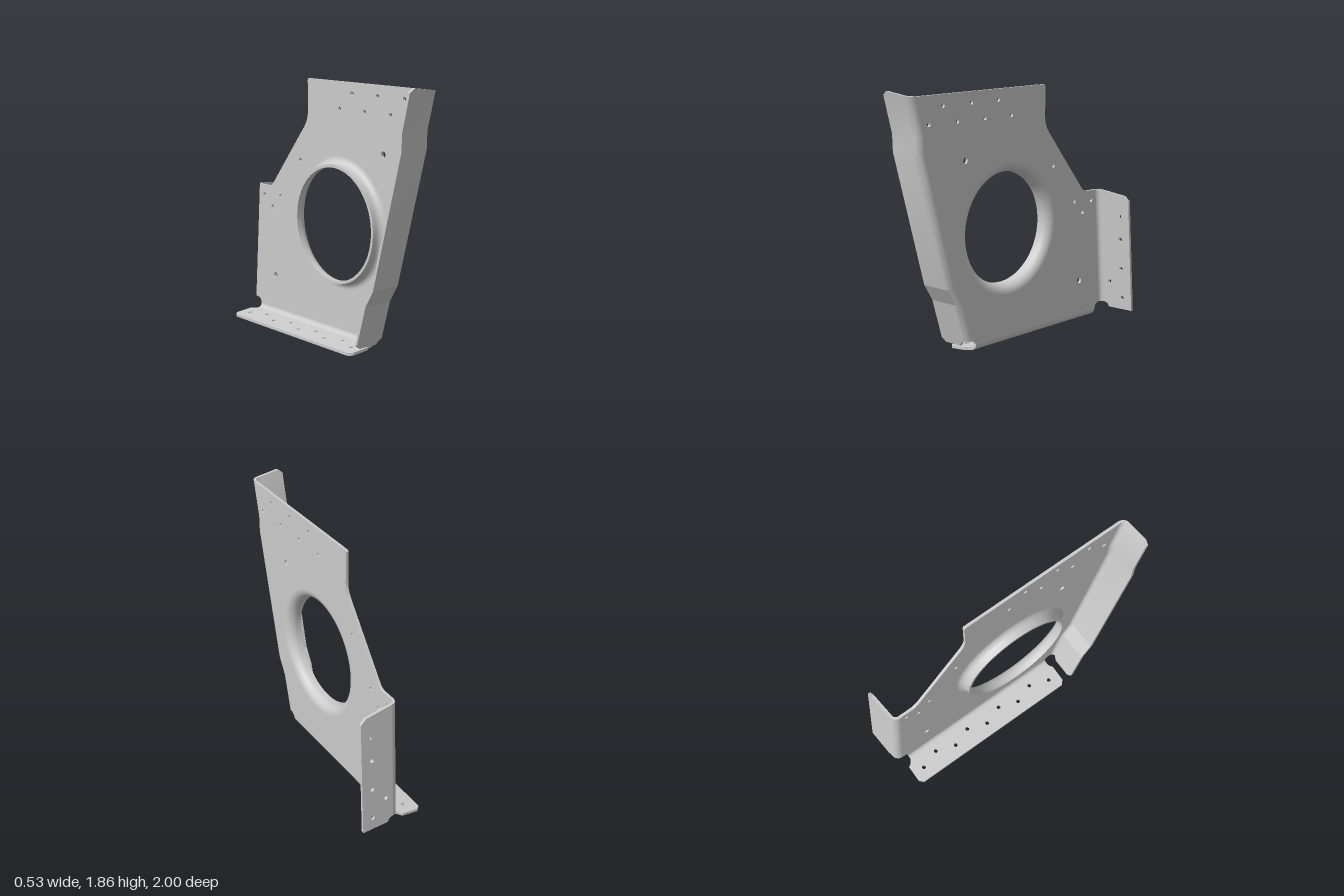
import * as THREE from 'three';
import { toCreasedNormals } from 'three/addons/utils/BufferGeometryUtils.js';

const T = 0.02;               // sheet thickness
const R = 0.05;               // outer bend radius
const XP = -0.016;            // plate face on the +x side
const XN = XP - T;            // plate face on the -x side
const EYE = { z: 0.065, y: 0.84, r: 0.47, inner: 0.4 };

// Front edge line as [y, z], with two joggles
const FRONT = [[0.065, 0.49], [0.38, 0.583], [0.5, 0.657], [1.45, 0.918], [1.57, 0.922], [1.865, 1]];
function frontZ(y) {
  let i = 0;
  while (i < FRONT.length - 2 && y > FRONT[i + 1][0]) i++;
  const [y0, z0] = FRONT[i], [y1, z1] = FRONT[i + 1];
  return z0 + (z1 - z0) * (y - y0) / (y1 - y0);
}
// Outer surfaces of the two other flanges, both slightly tilted
const backZ = (x, y) => -0.925 - 0.065 * (1 - y) / 0.92 - 0.06 * x;
const baseY = (x) => 0.1 * (x + 0.265);

const material = new THREE.MeshStandardMaterial({ color: 0xcccccc });

function addMesh(group, name, geometry) {
  const mesh = new THREE.Mesh(toCreasedNormals(geometry, 0.25), material);
  mesh.name = name;
  group.add(mesh);
  return mesh;
}

function circlePath(a, b, r, n) {
  const pts = [];
  for (let i = 0; i < n; i++) {
    const t = i / n * Math.PI * 2;
    pts.push(new THREE.Vector2(a + r * Math.cos(t), b + r * Math.sin(t)));
  }
  return new THREE.Path(pts);
}

// Flat sheet with round holes [a, b, radius, segments]
function sheet(shape, holes) {
  for (const [a, b, r = 0.015, n = 16] of holes) shape.holes.push(circlePath(a, b, r, n));
  return new THREE.ExtrudeGeometry(shape, { depth: T, bevelEnabled: false, curveSegments: 10 });
}

function polygon(points) {
  return new THREE.Shape(points.map(([a, b]) => new THREE.Vector2(a, b)));
}

function moveVertices(geometry, rule) {
  const pos = geometry.attributes.position, v = new THREE.Vector3();
  for (let i = 0; i < pos.count; i++) {
    rule(v.fromBufferAttribute(pos, i));
    pos.setXYZ(i, v.x, v.y, v.z);
  }
  return geometry;
}

// Bend section: p runs away from the plate, q runs in from the flange face
function bendSection(extra = []) {
  const outer = [], inner = [], steps = 10;
  for (let i = 0; i <= steps; i++) {
    const c = Math.cos(i / steps * Math.PI / 2), s = Math.sin(i / steps * Math.PI / 2);
    outer.push([R - R * c, R - R * s]);
    inner.push([R - (R - T) * c, R - (R - T) * s]);
  }
  for (const p of extra) {
    outer.push([p, 0]);
    inner.push([p, T]);
  }
  return outer.concat(inner.reverse());
}

// Solid skin over closed rings of equal length, capped at both ends
function loft(rings) {
  const n = rings[0].length, last = (rings.length - 1) * n, index = [];
  for (let j = 0; j < rings.length - 1; j++) {
    for (let i = 0; i < n; i++) {
      const a = j * n + i, b = j * n + (i + 1) % n;
      index.push(a, b, a + n, b, b + n, a + n);
    }
  }
  for (let i = 0; i < n / 2 - 1; i++) {
    const k = n - 1 - i;
    index.push(i + 1, i, k, i + 1, k, k - 1);
    index.push(last + i, last + i + 1, last + k - 1, last + i, last + k - 1, last + k);
  }
  // Turn the faces outward if the enclosed volume is negative
  const pts = rings.flat().map((p) => new THREE.Vector3(...p));
  let volume = 0;
  for (let i = 0; i < index.length; i += 3) {
    volume += pts[index[i]].dot(pts[index[i + 1]].clone().cross(pts[index[i + 2]]));
  }
  if (volume < 0) index.reverse();
  const g = new THREE.BufferGeometry().setFromPoints(pts);
  g.setIndex(index);
  return g;
}

// Main web, drawn in (-z, y)
function webPlate() {
  const s = new THREE.Shape();
  s.moveTo(-0.405, 0.073);
  s.quadraticCurveTo(-0.415, 0.1, -(frontZ(0.1) - R), 0.1);
  for (const [y] of FRONT.slice(1, -1)) s.lineTo(-(frontZ(y) - R), y);
  s.lineTo(-(frontZ(1.83) - R), 1.83);
  s.lineTo(0.295, 1.83);
  s.lineTo(0.305, 1.82);
  s.lineTo(0.305, 1.6);
  s.quadraticCurveTo(0.305, 1.535, 0.35, 1.48);
  s.lineTo(0.71, 1.04);
  s.quadraticCurveTo(0.74, 1, 0.78, 1);
  s.lineTo(-(backZ(0, 1) + R), 1);
  s.lineTo(-(backZ(0, 0.115) + R), 0.115);
  s.quadraticCurveTo(0.89, 0.115, 0.885, 0.073);
  const holes = [[-EYE.z, EYE.y, EYE.r, 96], [-0.495, 1.37, 0.022], [0.7, 0.325, 0.022],
    [0.395, 1.235], [0.635, 0.94], [0.73, 0.845], [0.83, 0.925]];
  for (let i = 0; i < 3; i++) holes.push([-0.695 + 0.26 * i, 1.755]);
  for (let i = 0; i < 4; i++) holes.push([-0.825 + 0.26 * i, 1.64]);
  return sheet(s, holes).rotateY(Math.PI / 2).translate(XN, 0, 0);
}

// Flared rim around the large opening
function openingLip() {
  const outer = [], inner = [], tip = -0.115, steps = 10;
  const fillet = EYE.r - EYE.inner, cx = XP - fillet;
  for (let i = 0; i <= steps; i++) {
    const t = i / steps * Math.PI / 2;
    const at = (r) => new THREE.Vector2(EYE.r - r * Math.cos(t), cx + r * Math.sin(t));
    outer.push(at(fillet - T));
    inner.push(at(fillet));
  }
  const start = new THREE.Vector2(EYE.inner + T, tip);
  const section = [start, ...outer, ...inner.reverse(), new THREE.Vector2(EYE.inner, tip), start.clone()];
  return new THREE.LatheGeometry(section, 96).rotateZ(-Math.PI / 2).translate(0, EYE.y, EYE.z);
}

// Joggled front flange with its bend, trimmed corners and relief
function frontFlange() {
  const full = 0.249, cut = 0.215;
  const rows = [[0.065, cut, 0.035, 0], [0.095, full, 0.01, 0],
    ...FRONT.slice(1, -1).map(([y]) => [y, full, 0, 0]),
    [1.8, full, 0, 0.03], [1.83, cut, 0, 0.03]];
  return loft(rows.map(([y0, tip, relief, slope]) =>
    bendSection([0.075, tip]).map(([p, q]) => {
      const fade = THREE.MathUtils.clamp((0.075 - p) / 0.03, 0, 1);
      const y = y0 + relief * fade + slope * p / full;
      return [XP - p, y, frontZ(y) - q];
    })));
}

export function createModel() {
  const group = new THREE.Group();
  group.name = 'sheetMetalBracket';

  addMesh(group, 'webPlate', webPlate());
  addMesh(group, 'openingLip', openingLip());
  addMesh(group, 'frontFlange', frontFlange());

  // Back flange, folded towards +x
  const back = polygon([[XN + R, 0.998], [0.22, 0.97], [0.262, 0.935], [0.262, 0.08], [0.055, 0.08],
    [0.047, 0.098], [0.034, 0.11], [XN + R, 0.115]]);
  const backHoles = [[0.07, 0.91], [0.18, 0.81], [0.18, 0.63], [0.07, 0.51], [0.18, 0.4], [0.07, 0.285], [0.18, 0.17]];
  addMesh(group, 'backFlange', moveVertices(sheet(back, backHoles), (v) => { v.z += backZ(v.x, v.y); }));
  addMesh(group, 'backBend', loft([0.115, 0.999].map((y) =>
    bendSection().map(([p, q]) => [XN + p, y, backZ(XN + p, y) + q]))));

  // Base flange, folded towards -x, drawn in (x, -z)
  const base = polygon([[XP - R, -0.405], [-0.09, -0.412], [-0.11, -0.428], [-0.235, -0.428], [-0.265, -0.4],
    [-0.265, 0.9], [-0.235, 0.93], [-0.11, 0.93], [-0.093, 0.905], [XP - R, 0.885]]);
  const baseHoles = [];
  for (let i = 0; i < 5; i++) baseHoles.push([-0.175, 0.84 - 0.295 * i]);
  for (let i = 0; i < 4; i++) baseHoles.push([-0.125, 0.695 - 0.295 * i]);
  addMesh(group, 'baseFlange', moveVertices(sheet(base, baseHoles).rotateX(-Math.PI / 2),
    (v) => { v.y += baseY(v.x); }));
  addMesh(group, 'baseBend', loft([-0.885, 0.405].map((z) =>
    bendSection().map(([p, q]) => [XP - p, baseY(XP - p) + q, z]))));

  return group;
}
